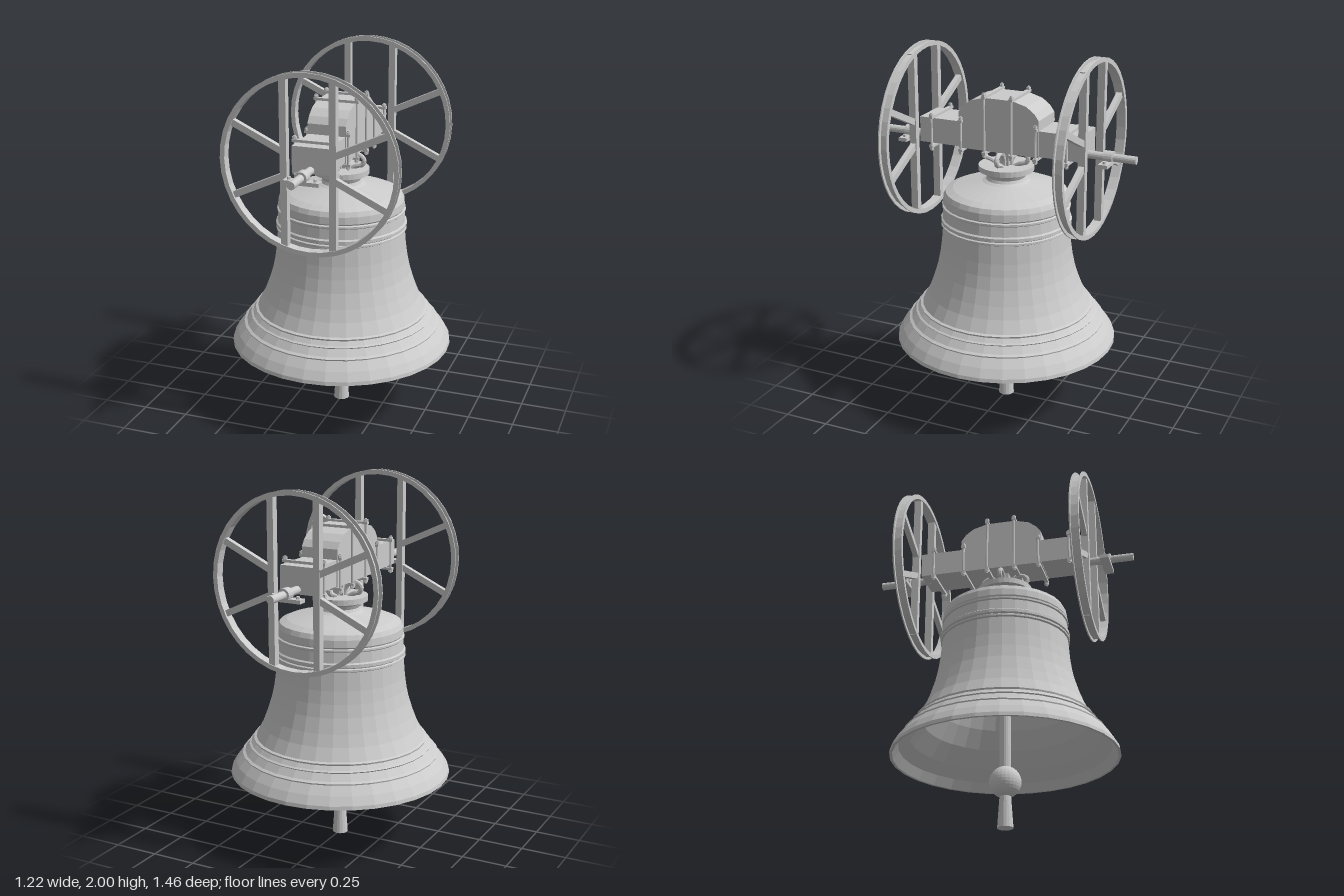
import * as THREE from 'three';

const material = new THREE.MeshStandardMaterial({ color: 0xcccccc, flatShading: true });

function add(parent, name, geometry, x = 0, y = 0, z = 0) {
  const mesh = new THREE.Mesh(geometry, material);
  mesh.name = name;
  mesh.position.set(x, y, z);
  parent.add(mesh);
  return mesh;
}

const box = (w, h, d) => new THREE.BoxGeometry(w, h, d);
const cyl = (top, bottom, h, n = 16) => new THREE.CylinderGeometry(top, bottom, h, n);
const lathe = (points, n) => new THREE.LatheGeometry(points.map(p => new THREE.Vector2(...p)), n);

function group(parent, name) {
  const g = new THREE.Group();
  g.name = name;
  parent.add(g);
  return g;
}

// Bell shell: inner wall from crown to lip, then outer wall with moulded bands
function buildBell(parent) {
  const inner = [[0, 1.23], [0.2, 1.22], [0.28, 1.18], [0.3, 1.1], [0.31, 0.95], [0.34, 0.8],
    [0.385, 0.68], [0.44, 0.58], [0.51, 0.49], [0.565, 0.43], [0.595, 0.38]];
  const outer = [[0.61, 0.38], [0.607, 0.4], [0.58, 0.445], [0.543, 0.49], [0.545, 0.497], [0.53, 0.505],
    [0.502, 0.54], [0.506, 0.546], [0.495, 0.552], [0.477, 0.573], [0.48, 0.582], [0.466, 0.588],
    [0.43, 0.655], [0.405, 0.72], [0.38, 0.8], [0.365, 0.87], [0.355, 0.94], [0.347, 1.04],
    [0.356, 1.045], [0.356, 1.055], [0.348, 1.06], [0.357, 1.066], [0.357, 1.083], [0.348, 1.09],
    [0.343, 1.145], [0.35, 1.15], [0.35, 1.16], [0.341, 1.165], [0.345, 1.172], [0.342, 1.21],
    [0.33, 1.235], [0.29, 1.252], [0.13, 1.29], [0.11, 1.3], [0.103, 1.315], [0.112, 1.335], [0.125, 1.347],
    [0.15, 1.35], [0.15, 1.38], [0, 1.38]];
  add(parent, 'bell', lathe([...inner, ...outer], 32));
}

// Clapper hanging inside the bell
function buildClapper(parent) {
  const g = group(parent, 'clapper');
  add(g, 'clapperRod', cyl(0.03, 0.03, 0.93), 0, 0.775, 0);
  add(g, 'clapperBall', new THREE.SphereGeometry(0.085, 24, 16), 0, 0.247, 0);
  add(g, 'clapperTail', cyl(0.03, 0.043, 0.18), 0, 0.09, 0);
}

// Curled loops tying the bell to the headstock
function buildCanons(parent) {
  const g = group(parent, 'canons');
  const path = new THREE.CatmullRomCurve3([[0.05, 1.375], [0.085, 1.395], [0.118, 1.405], [0.128, 1.432],
    [0.1, 1.457], [0.06, 1.452], [0.035, 1.42], [0.025, 1.375]].map(([r, y]) => new THREE.Vector3(0, y, r)));
  for (let i = 0; i < 4; i++) {
    add(g, 'canonLoop', new THREE.TubeGeometry(path, 24, 0.013, 8)).rotation.y = i * Math.PI / 2;
  }
  add(g, 'canonPost', box(0.06, 0.11, 0.05), 0, 1.43, 0);
}

// Beam with raised middle block, clamped by strap bolts
function buildHeadstock(parent) {
  const g = group(parent, 'headstock');
  add(g, 'beam', box(0.2, 0.138, 0.93), 0, 1.546, 0);

  const half = [[0.23, 1.472], [0.23, 1.67], [0.205, 1.705], [0.16, 1.738], [0.08, 1.76]];
  const mirrored = half.map(([z, y]) => [-z, y]).reverse();
  const shape = new THREE.Shape([...half, ...mirrored].map(p => new THREE.Vector2(...p)));
  const block = new THREE.ExtrudeGeometry(shape, { depth: 0.21, bevelEnabled: false });
  block.translate(0, 0, -0.105).rotateY(Math.PI / 2);
  add(g, 'middleBlock', block);

  for (const side of [-1, 1]) {
    for (const [z, top, bottom] of [[0.078, 1.765, 1.462], [0.215, 1.622, 1.462], [0.39, 1.622, 1.462]]) {
      const strap = group(g, 'strap');
      strap.position.z = side * z;
      // The strap beside the block sits over its shoulder
      for (const y of [top, bottom]) add(strap, 'strapPlate', box(0.25, 0.014, 0.022), 0, y, 0);
      for (const x of [-0.113, 0.113]) {
        add(strap, 'strapRod', cyl(0.007, 0.007, top - bottom + 0.05, 8), x, (top + bottom) / 2, 0);
        for (const y of [top + 0.012, bottom - 0.012]) add(strap, 'strapNut', cyl(0.013, 0.013, 0.014, 6), x, y, 0);
      }
    }
  }
}

// Axle and bearing on one end of the beam
function buildGudgeon(parent, side) {
  const g = group(parent, 'gudgeon');
  add(g, 'axle', cyl(0.021, 0.021, 0.29), 0, 1.495, side * 0.585).rotation.x = Math.PI / 2;
  const cap = add(g, 'bearingCap', cyl(0.033, 0.033, 0.05), 0, 1.495, side * 0.58);
  cap.rotation.x = Math.PI / 2;
  add(g, 'bearingBase', box(0.19, 0.02, 0.05), 0, 1.468, side * 0.58);
  for (const x of [-0.07, 0.07]) add(g, 'bearingBolt', cyl(0.01, 0.01, 0.016, 6), x, 1.484, side * 0.58);
}

// Wheel: channel rim, two upright bars and four slanted spokes
function buildWheel(parent, side) {
  const g = group(parent, 'wheel');
  g.position.set(0, 1.525, side * 0.485);
  const rim = lathe([[0.45, -0.026], [0.475, -0.026], [0.475, -0.019], [0.457, -0.019], [0.457, 0.019],
    [0.475, 0.019], [0.475, 0.026], [0.45, 0.026], [0.45, -0.026]], 40);
  add(g, 'rim', rim.rotateX(Math.PI / 2));
  for (const x of [-1, 1]) {
    add(g, 'uprightBar', box(0.036, 0.874, 0.04), x * 0.131, 0, 0);
    for (const y of [-1, 1]) {
      const angle = Math.atan2(y * 0.19, x * 0.405);
      const r = 0.3;
      add(g, 'spoke', box(0.308, 0.034, 0.03), r * Math.cos(angle), r * Math.sin(angle), 0).rotation.z = angle;
    }
  }
}

export function createModel() {
  const model = new THREE.Group();
  model.name = 'bellAssembly';
  buildBell(model);
  buildClapper(model);
  buildCanons(model);
  buildHeadstock(model);
  for (const side of [-1, 1]) {
    buildGudgeon(model, side);
    buildWheel(model, side);
  }
  return model;
}
